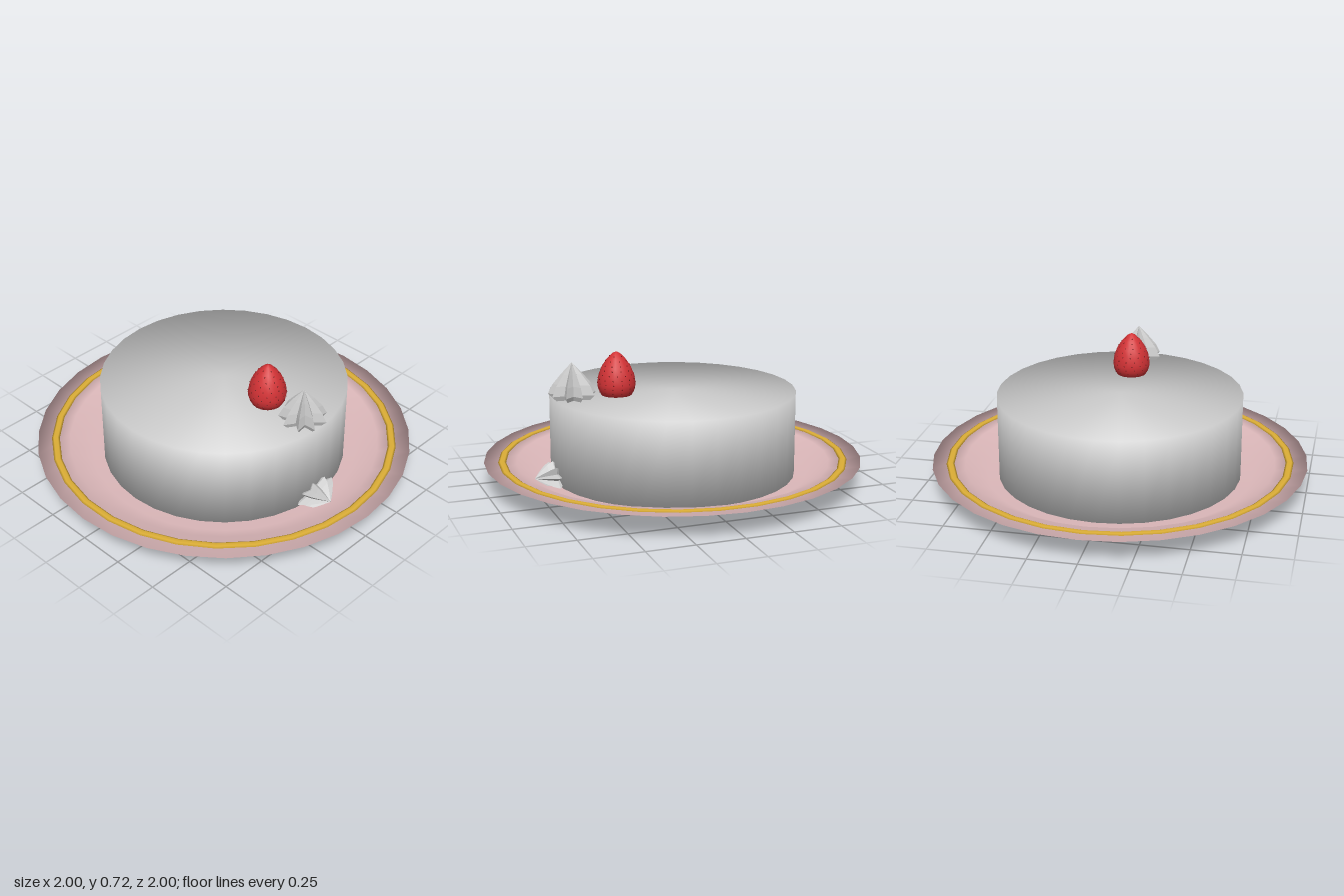
import * as THREE from 'three';
import { mergeVertices } from 'three/addons/utils/BufferGeometryUtils.js';

const mat = (color, extra = {}) => new THREE.MeshStandardMaterial({ color, ...extra });
const points = (list) => list.map(([r, y]) => new THREE.Vector2(r, y));

function add(parent, name, geometry, material) {
  const mesh = new THREE.Mesh(geometry, material);
  mesh.name = name;
  parent.add(mesh);
  return mesh;
}

// Merge seams so the whole surface shades smoothly
function soften(geometry) {
  geometry.deleteAttribute('uv');
  geometry.deleteAttribute('normal');
  const merged = mergeVertices(geometry);
  merged.computeVertexNormals();
  return merged;
}

// Piped cream: a lathe whose every second column is pulled in to make ridges
function creamStar(tips) {
  const profile = points([[0, 0], [0.1, 0], [0.125, 0.025], [0.1, 0.075], [0.055, 0.13], [0.02, 0.168], [0, 0.19]]);
  const geometry = new THREE.LatheGeometry(profile, tips * 2);
  const pos = geometry.attributes.position;
  for (let k = 0; k < pos.count; k++) {
    const column = Math.floor(k / profile.length);
    const pull = column % 2 ? 0.56 : 1;
    pos.setX(k, pos.getX(k) * pull);
    pos.setZ(k, pos.getZ(k) * pull);
  }
  geometry.computeVertexNormals();
  return geometry;
}

// Strawberry outline, shared by the body and its seeds
const BERRY = [[0, 0], [0.08, 0], [0.095, 0.03], [0.1, 0.06], [0.093, 0.105], [0.075, 0.15], [0.048, 0.19], [0.02, 0.218], [0, 0.228]];

function berryRadius(y) {
  for (let i = 2; i < BERRY.length; i++) {
    const [r0, y0] = BERRY[i - 1];
    const [r1, y1] = BERRY[i];
    if (y <= y1) return THREE.MathUtils.lerp(r0, r1, (y - y0) / (y1 - y0));
  }
  return 0;
}

export function createModel() {
  const model = new THREE.Group();
  model.name = 'cakeOnPlate';
  const cream = mat(0xcccccc);
  const ridged = mat(0xcccccc, { flatShading: true, side: THREE.DoubleSide });

  // Plate: thin dish with a flared rim, outlined from underside to top
  const plateProfile = points([
    [0, 0.035], [0.72, 0.035], [0.83, 0.103], [1, 0.13],
    [0.83, 0.115], [0.71, 0.047], [0, 0.047],
  ]);
  add(model, 'plate', new THREE.LatheGeometry(plateProfile, 32), mat(0xdcb8ba, { side: THREE.DoubleSide }));

  // Gold band lying on the rim
  const band = new THREE.TorusGeometry(0.905, 0.021, 6, 30);
  band.rotateX(Math.PI / 2);
  band.scale(1, 0.3, 1);
  band.translate(0, 0.124, 0);
  add(model, 'goldBand', band, mat(0xdcae36));

  // Cake
  const cake = soften(new THREE.CylinderGeometry(0.65, 0.65, 0.472, 32));
  cake.translate(0, 0.254, 0);
  add(model, 'cake', cake, cream);

  // Strawberry with rows of seeds
  const strawberry = new THREE.Group();
  strawberry.name = 'strawberry';
  strawberry.position.set(0.31, 0.49, 0);
  model.add(strawberry);
  add(strawberry, 'strawberryBody', new THREE.LatheGeometry(points(BERRY), 16), mat(0xd23235));
  const seedShape = new THREE.SphereGeometry(0.0035, 5, 4);
  const seedColor = mat(0x7a1a1a);
  for (let row = 0; row < 9; row++) {
    const y = 0.02 + row * 0.023;
    const r = berryRadius(y) * 0.99;
    const count = Math.max(5, Math.round(r * 140));
    for (let i = 0; i < count; i++) {
      const a = ((i + (row % 2) / 2) / count) * Math.PI * 2;
      add(strawberry, 'seed', seedShape, seedColor).position.set(r * Math.sin(a), y, r * Math.cos(a));
    }
  }

  // Cream star on top of the cake
  const topStar = add(model, 'topCreamStar', creamStar(9), ridged);
  topStar.position.set(0.55, 0.49, -0.005);
  topStar.rotation.y = -Math.PI / 2;

  // Squashed cream star leaning on the cake's side, pointing outward
  const sideStar = add(model, 'sideCreamStar', creamStar(9), ridged);
  sideStar.position.set(0.64, 0.079, -0.005);
  sideStar.rotation.z = -Math.PI / 2;
  sideStar.scale.set(0.63, 0.63, 1.08);

  return model;
}
